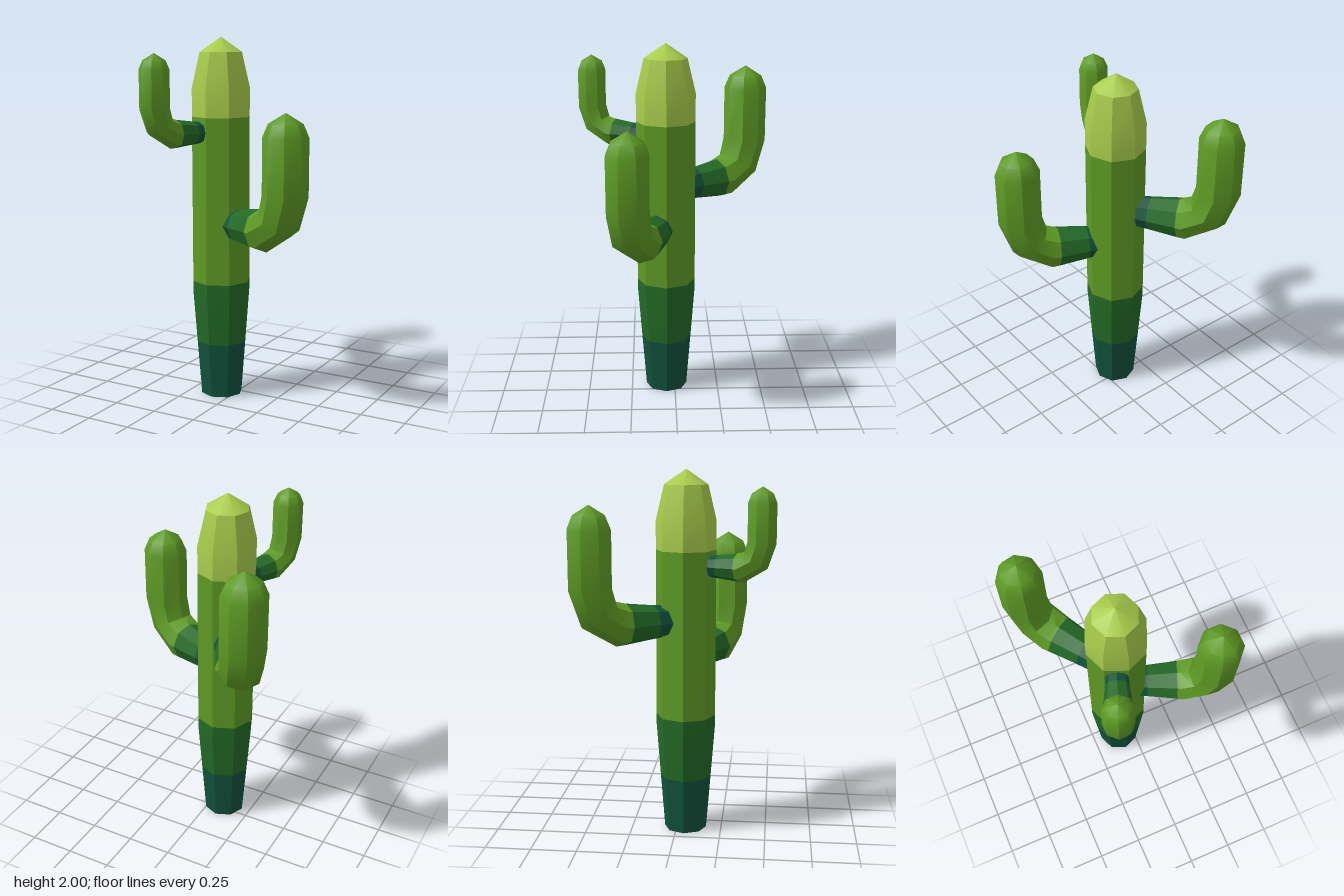
import * as THREE from 'three';
import { toCreasedNormals } from 'three/addons/utils/BufferGeometryUtils.js';

const SIDES = 8;

function makeMaterial(name, color) {
  const m = new THREE.MeshStandardMaterial({ color });
  m.name = name;
  return m;
}

// Lofts octagonal rings [d, y, radius, tangent angle in degrees, colour of the band above].
function loft(rings) {
  const point = ([d, y, r, deg], j) => {
    const t = THREE.MathUtils.degToRad(deg);
    const a = (j % SIDES) / SIDES * Math.PI * 2;
    const c = r * Math.cos(a);
    return [d + c * Math.sin(t), y - c * Math.cos(t), r * Math.sin(a)];
  };
  const pos = [];
  const geo = new THREE.BufferGeometry();
  for (let i = 0; i < rings.length - 1; i++) {
    const lo = rings[i], hi = rings[i + 1], start = pos.length / 3;
    for (let j = 0; j < SIDES; j++) {
      const a = point(lo, j), b = point(hi, j), c = point(lo, j + 1), e = point(hi, j + 1);
      if (lo[2] > 0) pos.push(...a, ...b, ...c);
      if (hi[2] > 0) pos.push(...c, ...b, ...e);
    }
    geo.addGroup(start, pos.length / 3 - start, lo[4]);
  }
  geo.setAttribute('position', new THREE.Float32BufferAttribute(pos, 3));
  return toCreasedNormals(geo, 0.7);
}

export function createModel() {
  const materials = [
    makeMaterial('deepTeal', 0x11523c),
    makeMaterial('darkGreen', 0x236a26),
    makeMaterial('leafGreen', 0x5e9b24),
    makeMaterial('limeTip', 0xa8cd4b),
  ];
  const group = new THREE.Group();
  group.name = 'cactus';
  const trunkX = -0.085, trunkZ = 0.048;

  // Trunk: tapered foot, straight body, domed tip
  const trunk = new THREE.Mesh(loft([
    [0, 0, 0, 90, 0],
    [0, 0, 0.117, 90, 0],
    [0, 0.31, 0.141, 90, 1],
    [0, 0.6, 0.163, 90, 1],
    [0, 0.66, 0.163, 90, 2],
    [0, 1.575, 0.163, 90, 3],
    [0, 1.73, 0.163, 90, 3],
    [0, 1.92, 0.118, 90, 3],
    [0, 2.0, 0, 90, 3],
  ]), materials);
  trunk.name = 'trunk';
  trunk.position.set(trunkX, 0, trunkZ);
  group.add(trunk);

  // Arm: leaves the trunk sideways, bends up and ends in a dome above its origin
  const armGeometry = loft([
    [-0.45, 0.11, 0.085, 0, 0],
    [-0.366, 0.111, 0.092, 0, 1],
    [-0.2, 0.114, 0.111, 3, 2],
    [-0.167, 0.115, 0.116, 11, 2],
    [-0.047, 0.18, 0.115, 58, 2],
    [0, 0.32, 0.12, 87, 2],
    [0, 0.62, 0.12, 90, 2],
    [0, 0.69, 0.09, 90, 2],
    [0, 0.745, 0, 90, 2],
  ]);

  // Each arm: tip position, lowest height, scale
  const arms = [
    ['leftArm', 0.408, 0.25, 0.88, 1],
    ['backRightArm', -0.41, -0.415, 1.087, 1],
    ['frontArm', -0.245, 0.455, 1.42, 0.67],
  ];
  for (const [name, x, z, y, scale] of arms) {
    const arm = new THREE.Mesh(armGeometry, materials);
    arm.name = name;
    arm.position.set(x, y, z);
    arm.rotation.y = -Math.atan2(z - trunkZ, x - trunkX);
    arm.scale.setScalar(scale);
    group.add(arm);
  }
  return group;
}
